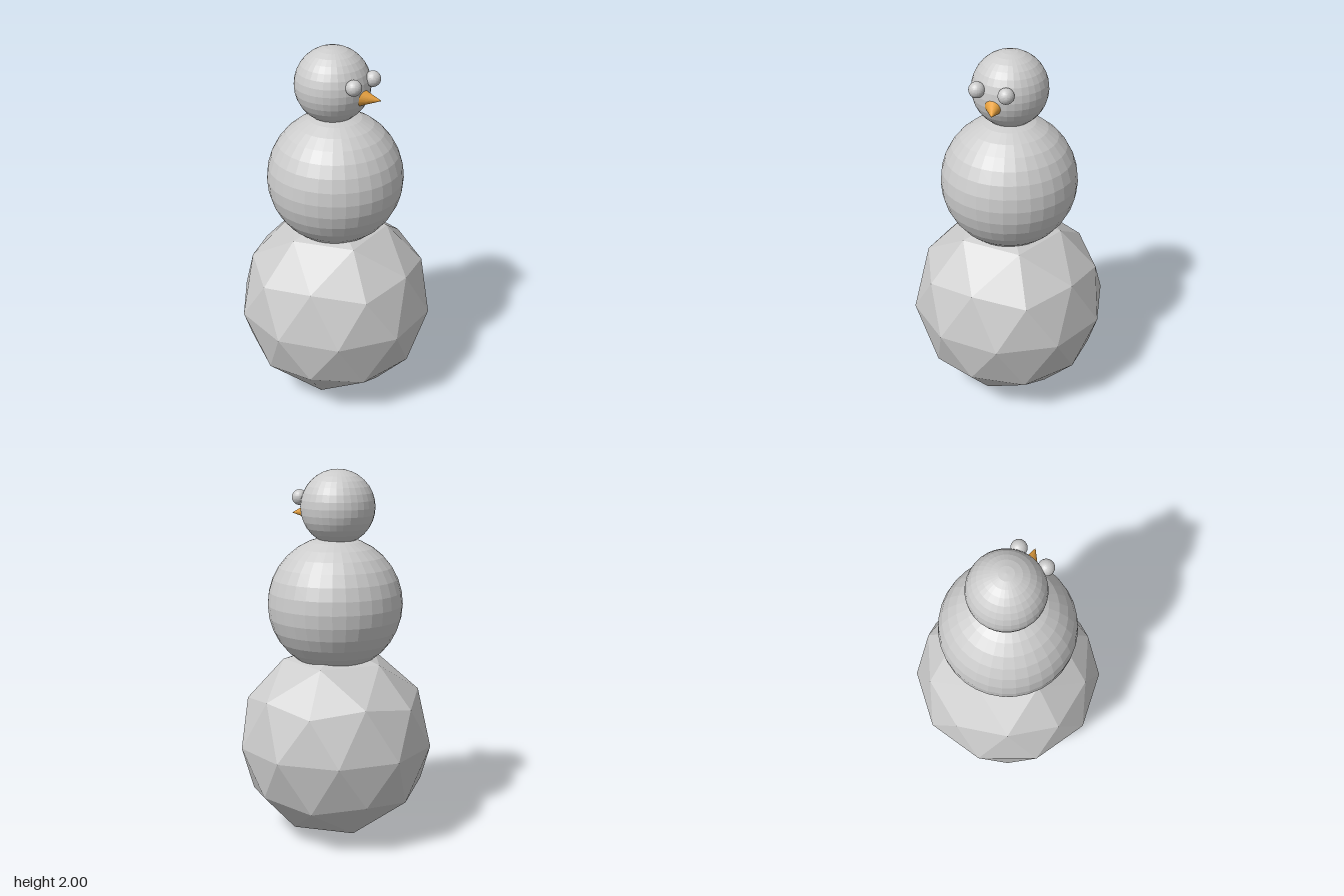
import * as THREE from 'three';

const grey = new THREE.MeshStandardMaterial({ color: 0xcccccc, flatShading: true });
const orange = new THREE.MeshStandardMaterial({ color: 0xe7a13f, flatShading: true });

export function createModel() {
  const model = new THREE.Group();
  model.name = 'snowman';

  function add(name, geometry, material, x, y, z) {
    const mesh = new THREE.Mesh(geometry, material);
    mesh.name = name;
    mesh.position.set(x, y, z);
    model.add(mesh);
    return mesh;
  }
  const ball = (r) => new THREE.SphereGeometry(r, 32, 16);

  // Faceted base ball, turned so a corner points straight up
  const base = new THREE.IcosahedronGeometry(0.532, 1);
  base.rotateX(-Math.atan2((1 + Math.sqrt(5)) / 2, 1));
  base.rotateY(THREE.MathUtils.degToRad(-33.8));
  add('lowerBody', base, grey, 0, 0.535, 0);

  // Torso and head
  add('upperBody', ball(0.361), grey, 0, 1.29, 0);
  add('head', ball(0.197), grey, -0.003, 1.803, -0.015);

  // Eyes
  add('leftEye', ball(0.041), grey, 0.075, 1.85, 0.177);
  add('rightEye', ball(0.041), grey, -0.088, 1.85, 0.177);

  // Cone nose, leaning to the model's left
  const start = new THREE.Vector3(0, 1.772, 0.16);
  const tip = new THREE.Vector3(0.037, 1.762, 0.258);
  const axis = tip.clone().sub(start);
  const cone = new THREE.ConeGeometry(0.046, axis.length(), 32);
  cone.translate(0, axis.length() / 2, 0);
  const nose = add('nose', cone, orange, start.x, start.y, start.z);
  nose.quaternion.setFromUnitVectors(new THREE.Vector3(0, 1, 0), axis.normalize());

  return model;
}
